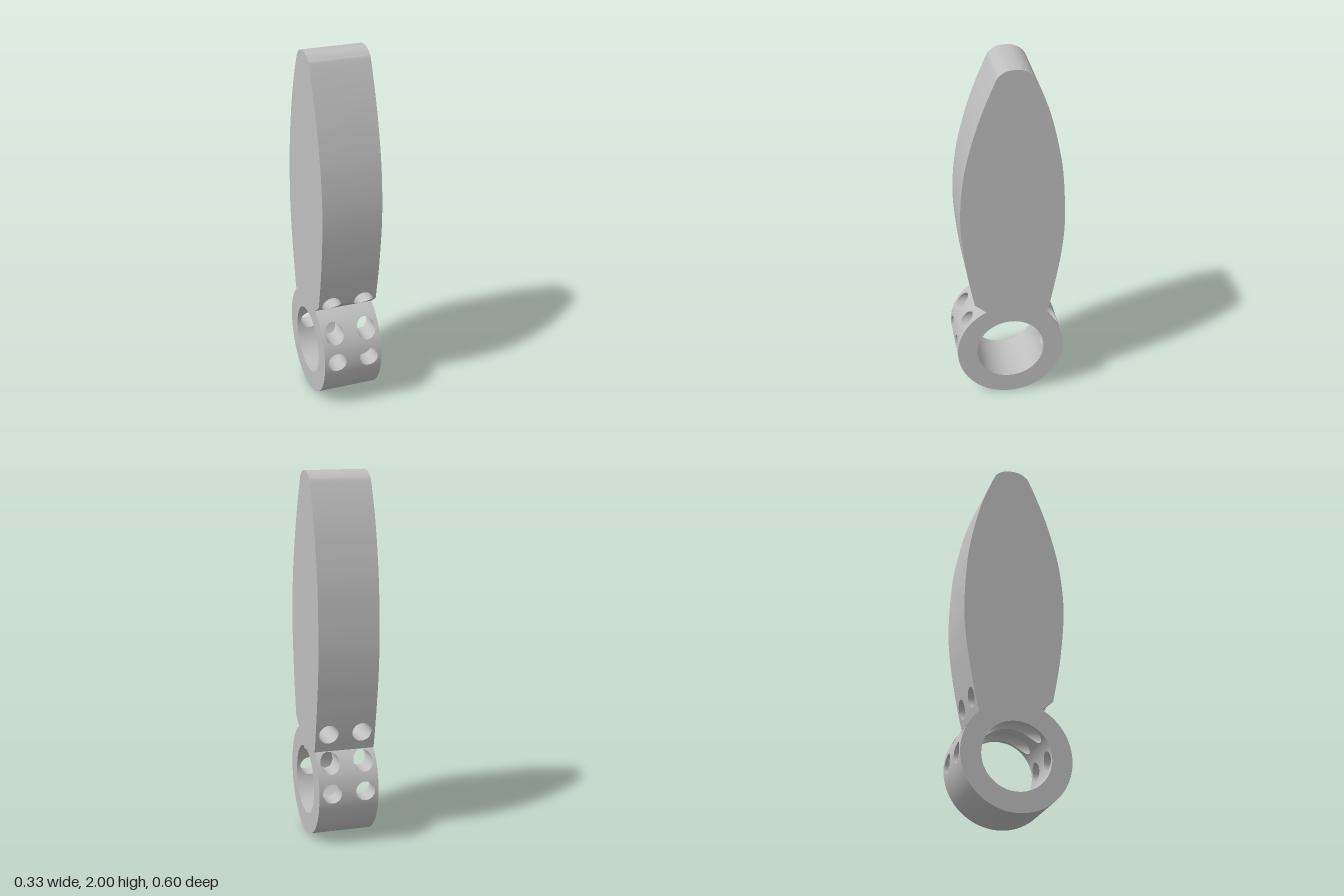
import * as THREE from 'three';
import { toCreasedNormals } from 'three/addons/utils/BufferGeometryUtils.js';

const W = 0.165;                       // half thickness along x
const C = 0.299, R = 0.299, BORE = 0.189; // ring centre height and radii
const HOLE_R = 0.053, HOLE_X = 0.092;
// hole rows: centre height, and the bottom and top of the wall cell around it
const ROWS = [[0.31, 0.25, 0.37], [0.465, 0.41, 0.52], [0.62, 0.565, 0.675]];

const v2 = (p) => new THREE.Vector2(p[0], p[1]);

// Outline of one half as (z, y), from the bottom of the ring to the tip of the blade
function halfOutline(side, endAngle, corner, curve) {
  const pts = [];
  for (let i = 0; i <= 48; i++) {
    const a = (endAngle * i) / 48;
    pts.push(new THREE.Vector2(side * R * Math.sin(a), C - R * Math.cos(a)));
  }
  return pts.concat(corner.map(v2), new THREE.SplineCurve(curve.map(v2)).getPoints(90));
}

const angleAt = (y) => Math.acos((C - y) / R);
const front = halfOutline(1, angleAt(0.565), [],
  [[0.2, 0.62], [0.243, 0.86], [0.269, 1.15], [0.25, 1.4], [0.205, 1.6], [0.15, 1.77],
    [0.08, 1.94], [0.055, 1.975], [0.02, 1.995], [-0.02, 2]]);
const back = halfOutline(-1, angleAt(0.52), [],
  [[-0.203, 0.525], [-0.225, 0.62], [-0.255, 0.78], [-0.28, 0.95], [-0.29, 1.13], [-0.275, 1.4],
    [-0.24, 1.6], [-0.195, 1.77], [-0.13, 1.935], [-0.1, 1.975], [-0.06, 1.995], [-0.02, 2]]);

// Depth of an outline at a given height
function depthAt(outline, y) {
  for (let i = 1; i < outline.length; i++) {
    const a = outline[i - 1], b = outline[i];
    if (y <= b.y) return b.y - a.y < 1e-9 ? b.x : a.x + ((b.x - a.x) * (y - a.y)) / (b.y - a.y);
  }
  return outline[outline.length - 1].x;
}
const boreDepth = (y) => Math.sqrt(Math.max(0, BORE * BORE - (y - C) ** 2));

// Adds a grid of quads; fn(i, j) gives a corner
function sheet(out, nu, nv, fn, flip) {
  for (let i = 0; i < nu; i++) {
    for (let j = 0; j < nv; j++) {
      const a = fn(i, j), b = fn(i, j + 1), c = fn(i + 1, j + 1), d = fn(i + 1, j);
      out.push(...(flip ? [a, c, b, a, d, c] : [a, b, c, a, c, d]).flat());
    }
  }
}

// Strip across the full thickness, through the given (z, y) points
function strip(out, pts, flip) {
  sheet(out, pts.length - 1, 2, (i, j) => [(j - 1) * W, pts[i].y, pts[i].x], flip);
}

// Angles round a hole, including the cell corners and where the bore top cuts it
function holeAngles(cx, cy, x0, x1, y0, y1) {
  const list = Array.from({ length: 56 }, (_, i) => (i / 56) * Math.PI * 2);
  for (const x of [x0, x1]) for (const y of [y0, y1]) list.push(Math.atan2(y - cy, x - cx));
  const s = (C + BORE - cy) / HOLE_R;
  if (Math.abs(s) < 1) list.push(Math.asin(s), Math.PI - Math.asin(s));
  const sorted = list.map((a) => (a + Math.PI * 2) % (Math.PI * 2)).sort((a, b) => a - b);
  return [...sorted, Math.PI * 2];
}

// Rectangular wall cell with a round opening, bent to the depth rule
function cell(out, cx, cy, x0, x1, y0, y1, depth, flip) {
  const angles = holeAngles(cx, cy, x0, x1, y0, y1);
  sheet(out, angles.length - 1, 6, (i, j) => {
    const c = Math.cos(angles[i]), s = Math.sin(angles[i]);
    const tx = Math.abs(c) < 1e-9 ? 9 : ((c > 0 ? x1 : x0) - cx) / c;
    const ty = Math.abs(s) < 1e-9 ? 9 : ((s > 0 ? y1 : y0) - cy) / s;
    const edge = Math.min(tx, ty), start = Math.min(HOLE_R, edge);
    const t = start + ((edge - start) * j) / 6;
    const y = cy + s * t;
    return [cx + c * t, y, depth(y)];
  }, flip);
}

export function createModel() {
  const group = new THREE.Group();
  group.name = 'bladeWithRing';
  const grey = new THREE.MeshStandardMaterial({ color: 0xbfbfbf });
  grey.name = 'grey';

  const outer = [], bore = [], holes = [];
  for (const [side, outline] of [[1, front], [-1, back]]) {
    const outerDepth = (y) => depthAt(outline, y);
    const innerDepth = (y) => side * boreDepth(y);

    // Plain bands of the outer wall, between the hole rows
    const edges = [-1, ...ROWS.flatMap((r) => [r[1], r[2]]), 3];
    for (let k = 0; k < edges.length; k += 2) {
      const lo = edges[k], hi = edges[k + 1];
      const pts = outline.filter((p) => p.y > lo + 1e-6 && p.y < hi - 1e-6);
      if (lo > 0) pts.unshift(new THREE.Vector2(outerDepth(lo), lo));
      if (hi < 2) pts.push(new THREE.Vector2(outerDepth(hi), hi));
      strip(outer, pts, side < 0);
    }

    // Plain bands of the bore
    const boreBand = (lo, hi, n) => {
      const a0 = Math.acos((C - lo) / BORE), a1 = Math.acos((C - hi) / BORE);
      const pts = [];
      for (let i = 0; i <= n; i++) {
        const a = a0 + ((a1 - a0) * i) / n;
        pts.push(new THREE.Vector2(side * BORE * Math.sin(a), C - BORE * Math.cos(a)));
      }
      strip(bore, pts, side > 0);
    };
    boreBand(C - BORE, ROWS[0][1], 24);
    boreBand(ROWS[0][2], ROWS[1][1], 6);

    // Pierced cells and the hole linings
    for (const m of [1, -1]) {
      const cx = m * HOLE_X, x0 = Math.min(0, m * W), x1 = Math.max(0, m * W);
      ROWS.forEach(([cy, y0, y1], row) => {
        cell(outer, cx, cy, x0, x1, y0, y1, outerDepth, side < 0);
        if (row < 2) cell(bore, cx, cy, x0, x1, y0, Math.min(y1, C + BORE), innerDepth, side > 0);
        const angles = holeAngles(cx, cy, x0, x1, y0, y1);
        sheet(holes, angles.length - 1, 1, (i, j) => {
          const y = cy + HOLE_R * Math.sin(angles[i]);
          return [cx + HOLE_R * Math.cos(angles[i]), y, j ? innerDepth(y) : outerDepth(y)];
        }, side > 0);
      });
    }
  }

  for (const [name, data] of [['outerWall', outer], ['ringBore', bore], ['crossHoles', holes]]) {
    let geo = new THREE.BufferGeometry();
    geo.setAttribute('position', new THREE.Float32BufferAttribute(data, 3));
    geo.scale(100, 100, 100); // finer vertex matching while smoothing
    geo = toCreasedNormals(geo, 0.5);
    geo.scale(0.01, 0.01, 0.01);
    const mesh = new THREE.Mesh(geo, grey);
    mesh.name = name;
    group.add(mesh);
  }

  // Flat side faces with the ring opening
  for (const side of [1, -1]) {
    const pts = [...front, ...back.slice(1, -1).reverse()];
    const shape = new THREE.Shape(pts.map((p) => new THREE.Vector2(-side * p.x, p.y)));
    const opening = new THREE.Path();
    opening.absarc(0, C, BORE, 0, Math.PI * 2, true);
    shape.holes.push(opening);
    const geo = new THREE.ShapeGeometry(shape, 48);
    geo.rotateY((side * Math.PI) / 2);
    geo.translate(side * W, 0, 0);
    const mesh = new THREE.Mesh(geo, grey);
    mesh.name = side > 0 ? 'leftFace' : 'rightFace';
    group.add(mesh);
  }
  return group;
}
